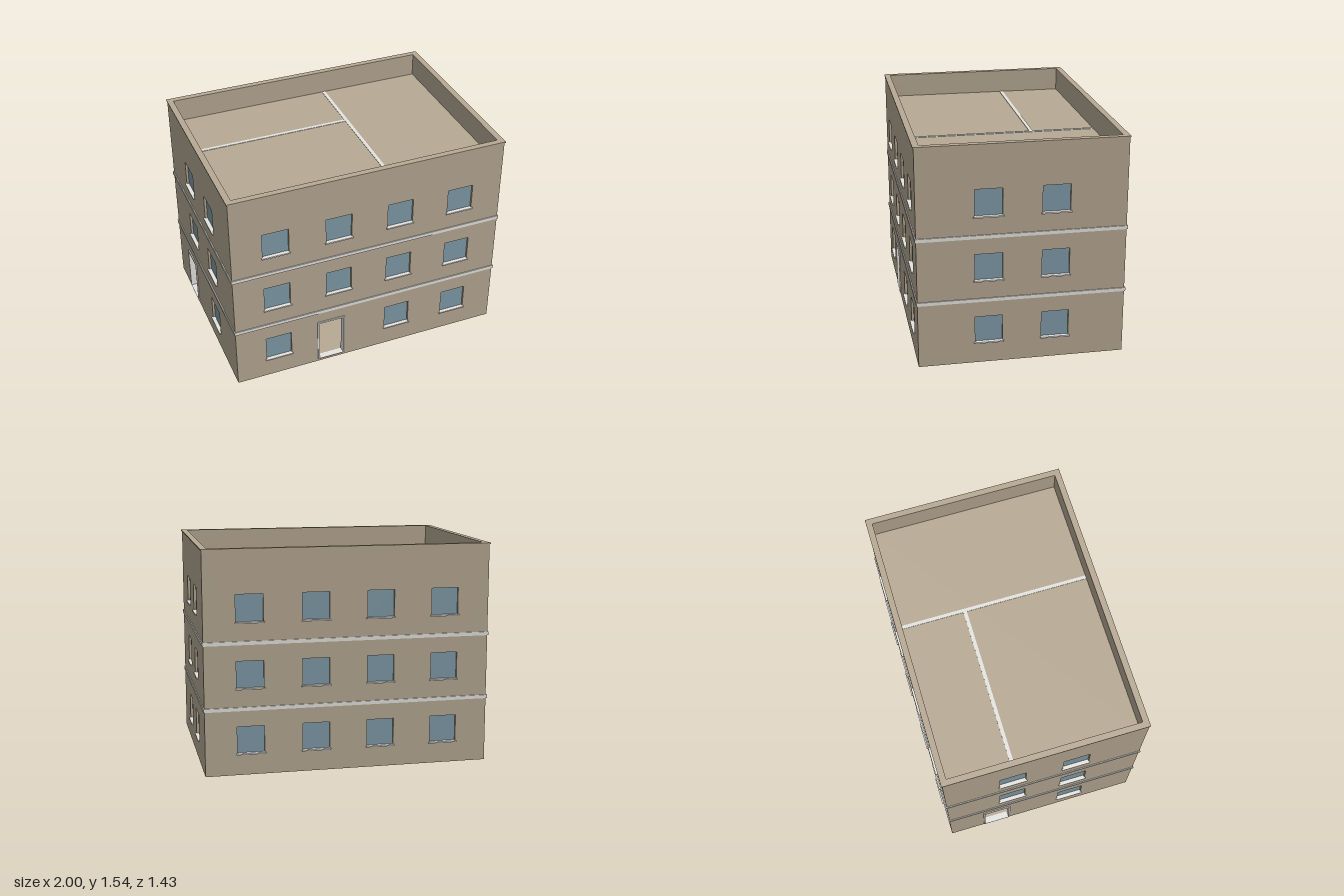
import * as THREE from 'three';

const HX = 0.988, HZ = 0.704, T = 0.036;      // outer half sizes and wall thickness
const STOREY = 0.45, TOP = 1.54, DECK = 1.371; // floor spacing, parapet top, roof deck
const WIN = 0.187, WIN_Y = 0.15;               // window size and height above each floor
const DOOR = { w: 0.186, y0: 0.023, y1: 0.355 };

const mat = (name, color) => {
  const m = new THREE.MeshStandardMaterial({ color });
  m.name = name;
  return m;
};

export function createModel() {
  const wallMat = mat('sandWall', 0xb7a993);
  const trimMat = mat('paleTrim', 0xe5e4df);
  const glassMat = mat('blueGlass', 0x7f9ba8);
  const model = new THREE.Group();
  model.name = 'building';

  const add = (parent, name, geometry, material, x = 0, y = 0, z = 0) => {
    const mesh = new THREE.Mesh(geometry, material);
    mesh.name = name;
    mesh.position.set(x, y, z);
    parent.add(mesh);
    return mesh;
  };
  const box = (parent, name, material, w, h, d, x, y, z) =>
    add(parent, name, new THREE.BoxGeometry(w, h, d), material, x, y, z);

  const rect = (Type, x0, y0, x1, y1) => {
    const p = new Type();
    p.moveTo(x0, y0);
    p.lineTo(x1, y0);
    p.lineTo(x1, y1);
    p.lineTo(x0, y1);
    p.closePath();
    return p;
  };
  const extrude = (shape, depth) => new THREE.ExtrudeGeometry(shape, { depth, bevelEnabled: false });

  // Rectangular ring lying flat, from y0 up to y1
  const ring = (name, material, hx, hz, ix, iz, y0, y1) => {
    const shape = rect(THREE.Shape, -hx, -hz, hx, hz);
    shape.holes.push(rect(THREE.Path, -ix, -iz, ix, iz));
    add(model, name, extrude(shape, y1 - y0).rotateX(-Math.PI / 2), material, 0, y0, 0);
  };

  // One outside wall: local z = 0 is its outer face, doorX replaces the ground window at skipX
  const facade = (name, half, columns, x, z, turn, doorX, skipX) => {
    const group = new THREE.Group();
    group.name = name;
    group.position.set(x, 0, z);
    group.rotation.y = turn;
    const shape = rect(THREE.Shape, -half, 0, half, TOP - 0.007);

    for (let floor = 0; floor < 3; floor++) {
      for (const cx of columns) {
        if (floor === 0 && cx === skipX) continue;
        const y0 = floor * STOREY + WIN_Y;
        shape.holes.push(rect(THREE.Path, cx - WIN / 2, y0, cx + WIN / 2, y0 + WIN));
        box(group, 'windowPane', glassMat, WIN, WIN, 0.008, cx, y0 + WIN / 2, -0.02);
        box(group, 'windowSill', trimMat, 0.203, 0.01, 0.03, cx, y0 - 0.003, -0.003);
      }
    }
    if (doorX !== undefined) {
      const { w, y0, y1 } = DOOR, f = 0.01;
      shape.holes.push(rect(THREE.Path, doorX - w / 2, y0, doorX + w / 2, y1));
      // Frame lines the opening and stands slightly proud of the wall
      const frame = rect(THREE.Shape, doorX - w / 2 - f, y0, doorX + w / 2 + f, y1 + f);
      frame.holes.push(rect(THREE.Path, doorX - w / 2 + 0.002, y0 + 0.002, doorX + w / 2 - 0.002, y1 - 0.002));
      add(group, 'doorFrame', extrude(frame, T + 0.012), trimMat, 0, 0, -T - 0.004);
    }
    add(group, 'wall', extrude(shape, T), wallMat, 0, 0, -T);
    model.add(group);
  };

  const longCols = [-0.676, -0.225, 0.225, 0.676], shortCols = [-0.226, 0.226];
  facade('frontWall', HX, longCols, 0, HZ, 0, -0.283, -0.225);
  facade('backWall', HX, longCols, 0, -HZ, Math.PI);
  facade('leftWall', HZ - T, shortCols, HX, 0, Math.PI / 2);
  facade('rightWall', HZ - T, shortCols, -HX, 0, -Math.PI / 2, -0.345, -0.226);

  // Floor slabs and roof deck
  const ix = HX - T, iz = HZ - T;
  for (let i = 0; i < 4; i++) {
    const top = i === 3 ? DECK : i * STOREY + 0.022;
    box(model, i === 3 ? 'roofDeck' : 'floorSlab', wallMat, ix * 2, 0.022, iz * 2, 0, top - 0.011, 0);
  }

  // String courses at the upper floors and the parapet coping
  for (const y of [0.447, 0.897]) ring('stringCourse', trimMat, 0.995, 0.711, 0.97, 0.686, y, y + 0.025);
  ring('coping', wallMat, 0.994, 0.71, ix - 0.001, iz - 0.001, TOP - 0.008, TOP);

  // Inside partitions, whose tops show as strips on the roof
  const partTop = DECK + 0.003, py = 0.01;
  box(model, 'crossPartition', trimMat, 0.025, partTop - py, iz * 2, 0.208, (partTop + py) / 2, 0);
  const part = rect(THREE.Shape, -ix, py, 0.2, partTop);
  for (let i = 0; i < 3; i++) {
    const y = i * STOREY;
    part.holes.push(rect(THREE.Path, -0.54, y + 0.022, -0.353, y + 0.332));
  }
  add(model, 'longPartition', extrude(part, 0.025), trimMat, 0, 0, -0.229);

  return model;
}
